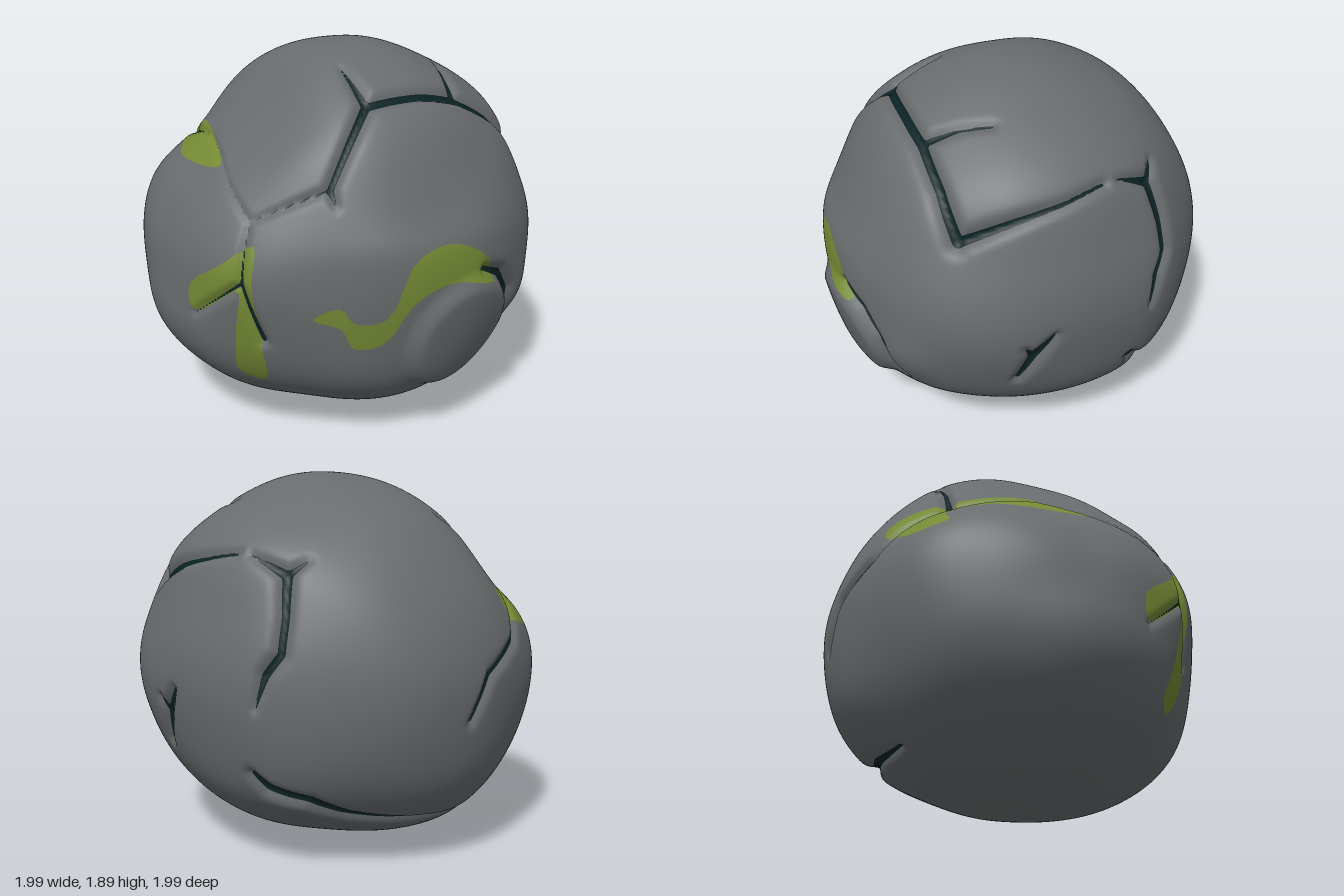
import * as THREE from 'three';
import { mergeVertices } from 'three/addons/utils/BufferGeometryUtils.js';

const CENTRE_Y = 0.9;
const { smoothstep, lerp, clamp } = THREE.MathUtils;
const direction = (x, y, z) => new THREE.Vector3(x, y - CENTRE_Y, z).normalize();

// Smooth closed curve through a few flat points
function loop(points, samples) {
  const curve = new THREE.CatmullRomCurve3(points.map(([a, b]) => new THREE.Vector3(a, b, 0)), true);
  return curve.getPoints(samples).slice(0, -1);
}

// Outline around the centre, as a function giving the radius in a direction
function ring(points, cy) {
  const N = 180;
  const polar = loop(points, 120).map((p) => [Math.atan2(p.y - cy, p.x), Math.hypot(p.x, p.y - cy)]);
  polar.sort((p, q) => p[0] - q[0]);
  const [first, last] = [polar[0], polar[polar.length - 1]];
  const all = [[last[0] - 2 * Math.PI, last[1]], ...polar, [first[0] + 2 * Math.PI, first[1]]];
  const raw = Array.from({ length: N }, (_, i) => {
    const angle = -Math.PI + (i / N) * 2 * Math.PI;
    const k = Math.max(1, all.findIndex((p) => p[0] > angle));
    return lerp(all[k - 1][1], all[k][1], (angle - all[k - 1][0]) / (all[k][0] - all[k - 1][0]));
  });
  const table = raw.map((r, i) => (raw[(i + N - 1) % N] + 2 * r + raw[(i + 1) % N]) / 4);
  return (a, b) => {
    const f = ((Math.atan2(b, a) + Math.PI) / (2 * Math.PI)) * N;
    const i = Math.floor(f);
    return lerp(table[i % N], table[(i + 1) % N], f - i);
  };
}

const frontRing = ring([[0.13, 1.89], [0.45, 1.79], [0.82, 1.56], [0.94, 1.25], [0.99, 0.9], [0.86, 0.41], [0.59, 0.16],
  [0, 0], [-0.55, 0.13], [-0.9, 0.42], [-1, 0.67], [-0.86, 1.15], [-0.7, 1.35], [-0.4, 1.63], [-0.2, 1.8]], CENTRE_Y);
const sideRing = ring([[0.05, 1.89], [0.5, 1.73], [0.7, 1.57], [0.88, 1.2], [0.96, 1.05], [0.95, 0.72], [0.84, 0.34],
  [0.6, 0.14], [0, 0], [-0.6, 0.14], [-0.9, 0.4], [-0.99, 0.8], [-0.88, 1.3], [-0.55, 1.7]], CENTRE_Y);
const topRing = ring([[0, -1], [0.45, -0.9], [0.88, -0.5], [0.99, 0], [0.97, 0.3], [0.74, 0.72], [0.25, 0.96],
  [-0.2, 0.92], [-0.65, 0.65], [-0.95, 0.17], [-0.97, -0.2], [-0.7, -0.75]], 0);

// Broad swellings and flats: where, height, spread
const swell = (x, y, z, lift, spread) => ({ dir: direction(x, y, z), lift, spread });
const swells = [
  swell(0.29, 1.72, 0.49, 0.025, 0.3), // front of the top slab
  swell(-0.55, 1.4, -0.6, -0.065, 0.3), // flat below the slab at the back
  swell(-0.29, 0.1, -0.49, 0.035, 0.35), // underside, back
  swell(0.29, 0.1, 0.49, 0.02, 0.35), // underside, front
  swell(-0.8, 0.9, 0.55, 0.045, 0.3), // left cheek
  swell(0.86, 0.9, 0.5, 0.025, 0.3), // right cheek
  swell(0.7, 0.4, -0.4, 0.03, 0.3), // low right haunch
  swell(-0.7, 0.4, 0.4, 0.025, 0.3), // low left haunch
  swell(0.66, 0.65, 0.74, 0.03, 0.15), // beside the boss
];

// Radius of the uncracked boulder: the three outlines blended, swellings, a round boss on the front, gentle lumps
const bossDir = direction(0.22, 0.57, 0.9);
function baseRadius(d) {
  const weight = (c) => (1 - c * c) / (c * c + 0.03);
  const wf = weight(d.z), ws = weight(d.x), wt = weight(d.y);
  let r = (wf * frontRing(d.x, d.y) + ws * sideRing(d.z, d.y) + wt * topRing(d.x, d.z)) / (wf + ws + wt);
  for (const { dir, lift, spread } of swells) r += lift * Math.exp(-d.distanceToSquared(dir) / spread ** 2);
  r += 0.04 * (1 - smoothstep(d.distanceTo(bossDir), 0.25, 0.36));
  return r + 0.005 * Math.sin(7 * d.x + 3 * d.y) * Math.sin(6 * d.y - 4 * d.z + 1) * Math.sin(5 * d.z + 2);
}

// A crack follows a few points, with a half width along it and at its two ends
const segments = [];
function crack(width, startWidth, endWidth, ...points) {
  const pts = points.map((point, i) => ({
    p: direction(...point),
    w: i === 0 ? startWidth : i === points.length - 1 ? endWidth : width,
  }));
  pts.slice(1).forEach((b, i) => segments.push({ a: pts[i], b, ab: b.p.clone().sub(pts[i].p) }));
}

// Junctions shared by several cracks
const frontLeft = [-0.39, 1.34, 0.68], slabLeft = [-0.12, 1.64, 0.53], slabRight = [0.38, 1.62, 0.52];
const slabCorner = [0.77, 1.33, 0.48], leftFork = [-0.71, 1.19, 0.5], backFork = [-0.49, 1.31, -0.53];
const rightFork = [0.74, 1.45, -0.48], sideFork = [0.97, 0.72, 0.18], mossFork = [-0.78, 0.92, 0.55];

// Front edge of the top slab, with its branches
crack(0.023, 0.016, 0.028, frontLeft, slabLeft, [0.15, 1.66, 0.54], slabRight, [0.6, 1.5, 0.5], slabCorner);
crack(0.01, 0.018, 0.004, frontLeft, [-0.38, 1.27, 0.72]);
crack(0.01, 0.022, 0.004, slabLeft, [-0.12, 1.78, 0.3]);
crack(0.008, 0.02, 0.008, slabRight, [0.44, 1.7, 0.36], [0.51, 1.75, 0.23]);
// Left edge of the slab, running round to the back
crack(0.01, 0.008, 0.003, frontLeft, leftFork);
crack(0.002, 0.003, 0.012, leftFork, [-0.72, 1.31, 0.3], [-0.68, 1.4, 0.1], [-0.62, 1.44, -0.13], backFork);
crack(0.012, 0.014, 0.008, backFork, [-0.34, 1.06, -0.84], [-0.1, 0.95, -0.97], [0.04, 0.74, -0.98]);
crack(0.012, 0.022, 0.005, backFork, [-0.35, 1.54, -0.53], [-0.2, 1.68, -0.53]);
// Right edge of the slab and its drop down the side
crack(0.01, 0.024, 0.008, slabCorner, [0.84, 1.48, 0], [0.81, 1.53, -0.21]);
crack(0.01, 0.004, 0.024, [0.78, 1.52, -0.28], rightFork);
crack(0.019, 0.024, 0.004, rightFork, [0.82, 1.27, -0.55], [0.85, 1.1, -0.56], [0.89, 1, -0.5], [0.9, 0.84, -0.45]);
crack(0.01, 0.02, 0.006, rightFork, [0.68, 1.54, -0.55]);
// Low crack under the back
crack(0.022, 0.012, 0.008, [0.88, 0.5, -0.38], [0.84, 0.41, -0.44], [0.68, 0.37, -0.56], [0.5, 0.27, -0.62],
  [0.1, 0.2, -0.71], [-0.25, 0.16, -0.71]);
// Short cracks on the right side, by the boss and on the left
crack(0.024, 0.012, 0.008, [0.95, 0.55, 0.25], sideFork, [0.98, 0.86, 0.08]);
crack(0.01, 0.02, 0.006, sideFork, [0.97, 0.8, 0.22]);
crack(0.02, 0.012, 0.01, [0.32, 0.9, 0.93], [0.46, 0.83, 0.88], [0.55, 0.7, 0.82], [0.58, 0.44, 0.75]);
crack(0.008, 0.003, 0.012, leftFork, mossFork, [-0.73, 0.61, 0.62]);
crack(0.01, 0.008, 0.004, mossFork, [-0.92, 0.7, 0.3]);

// Signed distance to the nearest crack edge, and the depth of the groove there
const q = new THREE.Vector3();
function crackAt(d) {
  let edge = 1, depth = 0;
  for (const { a, b, ab } of segments) {
    const t = clamp(q.subVectors(d, a.p).dot(ab) / ab.lengthSq(), 0, 1);
    const dist = q.copy(a.p).addScaledVector(ab, t).normalize().distanceTo(d);
    const w = lerp(a.w, b.w, t);
    edge = Math.min(edge, dist - w);
    if (dist < 0.15) depth = Math.max(depth, (0.01 + 1.5 * w) * Math.exp(-((dist / (0.018 + w)) ** 2)));
  }
  return { edge, depth };
}

// Moss patches: outlines seen along one axis, beyond a limit on that axis
const patch = (v, axis, min, ...outline) => ({ v, axis, min, outline: loop(outline, 40) });
const mossPatches = [
  patch('y', 'z', 0.3, [-0.53, 0.76], [-0.42, 0.82], [-0.36, 0.74], [-0.22, 0.75], [-0.1, 1.02], [0.08, 1.08],
    [0.3, 0.99], [0.4, 0.83], [0.1, 0.89], [-0.09, 0.82], [-0.22, 0.62], [-0.35, 0.6], [-0.41, 0.71]),
  patch('y', 'z', 0, [-0.73, 1.1], [-0.92, 0.88], [-0.92, 0.71], [-0.81, 0.88], [-0.8, 0.65], [-0.76, 0.42],
    [-0.66, 0.37], [-0.71, 0.6], [-0.76, 0.92]),
  patch('z', 'y', CENTRE_Y, [-0.35, -0.83], [-0.6, -0.76], [-0.71, -0.62], [-0.62, -0.61], [-0.61, -0.52],
    [-0.73, -0.25], [-0.7, 0.15], [-0.61, -0.12], [-0.5, -0.5]),
];
function mossEdge(d) {
  const p = d.clone().multiplyScalar(baseRadius(d));
  p.y += CENTRE_Y;
  let best = 1;
  for (const { v, axis, min, outline } of mossPatches) {
    if (p[axis] < min) continue;
    let inside = false, dist = 1;
    outline.forEach((a, i) => {
      const b = outline[(i + 1) % outline.length];
      const ex = b.x - a.x, ey = b.y - a.y, px = p.x - a.x, py = p[v] - a.y;
      const t = clamp((px * ex + py * ey) / (ex * ex + ey * ey), 0, 1);
      dist = Math.min(dist, Math.hypot(px - ex * t, py - ey * t));
      if ((a.y > p[v]) !== (b.y > p[v]) && px < (ex * py) / ey) inside = !inside;
    });
    best = Math.min(best, inside ? -dist : dist);
  }
  return best;
}

// Cuts triangles along the zero line of a field
function split(triangles, field) {
  const parts = { inside: [], outside: [] };
  for (const tri of triangles) {
    const f = tri.map(field), polys = { inside: [], outside: [] };
    for (let i = 0; i < 3; i++) {
      const j = (i + 1) % 3;
      polys[f[i] < 0 ? 'inside' : 'outside'].push(tri[i]);
      if ((f[i] < 0) === (f[j] < 0)) continue;
      const cut = tri[i].clone().lerp(tri[j], f[i] / (f[i] - f[j])).normalize();
      for (const poly of Object.values(polys)) poly.push(cut);
    }
    for (const [key, poly] of Object.entries(polys)) {
      for (let k = 2; k < poly.length; k++) parts[key].push([poly[0], poly[k - 1], poly[k]]);
    }
  }
  return parts;
}

export function createModel() {
  const mat = (name, color) => new THREE.MeshStandardMaterial({ name, color });
  const materials = [mat('stone', 0x696c6e), mat('crackDark', 0x0c2325), mat('moss', 0x758a35)];
  // Fine sphere of directions, divided into stone, cracks and moss
  const sphere = new THREE.IcosahedronGeometry(1, 70).attributes.position;
  const triangles = [];
  for (let i = 0; i < sphere.count; i += 3) {
    triangles.push([0, 1, 2].map((k) => new THREE.Vector3().fromBufferAttribute(sphere, i + k)));
  }
  const cracks = split(triangles, (d) => crackAt(d).edge);
  const moss = split(cracks.outside, mossEdge);
  // Push every direction out to the carved surface
  const positions = [];
  const counts = [moss.outside, cracks.inside, moss.inside].map((part) => {
    for (const d of part.flat()) {
      const r = baseRadius(d) - crackAt(d).depth;
      positions.push(d.x * r, d.y * r + CENTRE_Y, d.z * r);
    }
    return part.length * 3;
  });
  let geometry = new THREE.BufferGeometry();
  geometry.setAttribute('position', new THREE.Float32BufferAttribute(positions, 3));
  geometry = mergeVertices(geometry, 1e-4);
  geometry.computeVertexNormals();
  counts.reduce((start, count, i) => (geometry.addGroup(start, count, i), start + count), 0);

  const boulder = new THREE.Mesh(geometry, materials);
  boulder.name = 'boulder';
  const group = new THREE.Group();
  group.name = 'crackedMossyBoulder';
  return group.add(boulder);
}
